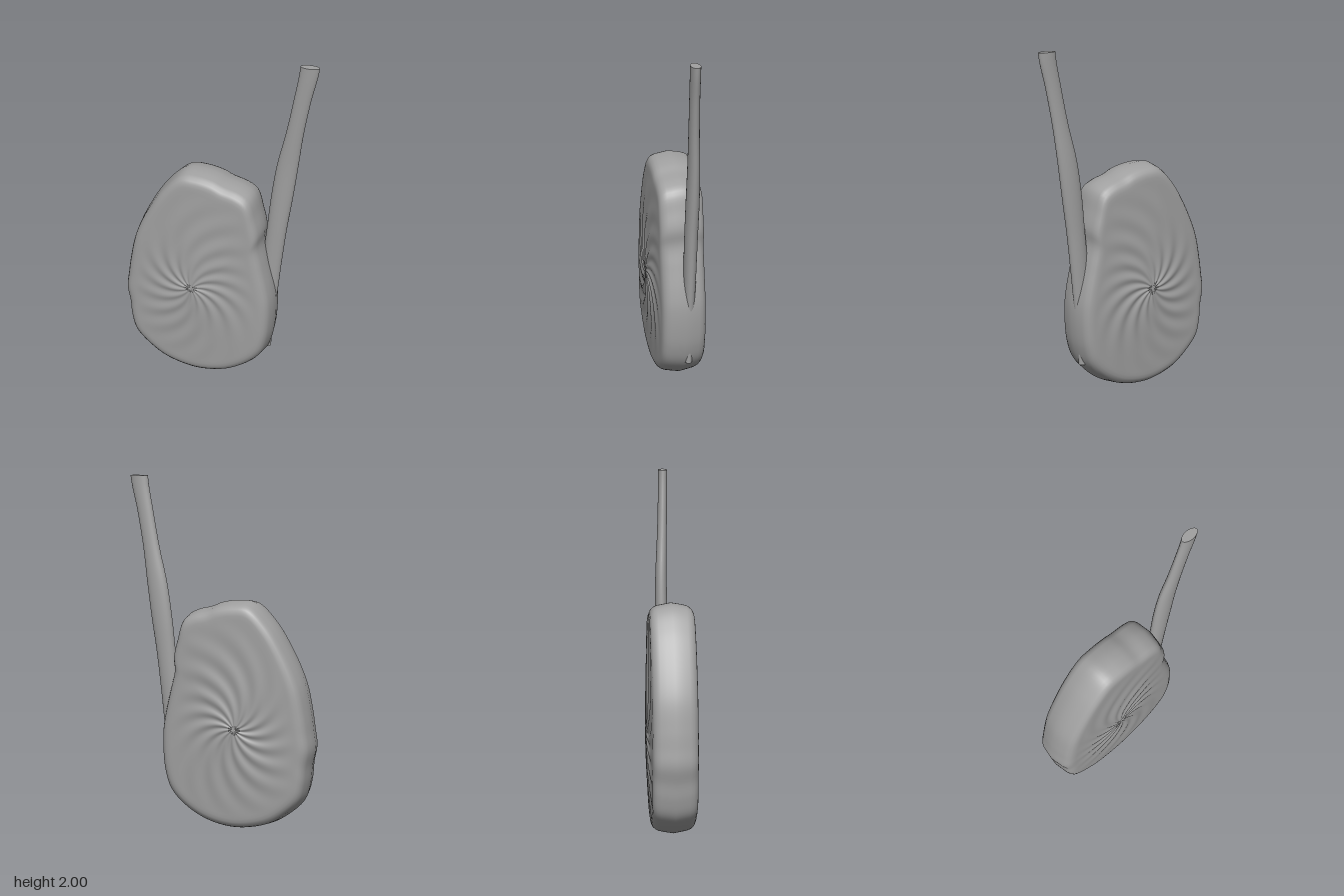
import * as THREE from 'three';

const grey = new THREE.MeshStandardMaterial({ color: 0xa0a0a0 });
grey.name = 'grey';

// Uneven pebble silhouette, clockwise from the top
const OUTLINE = [
  [-0.19, 1.31], [-0.1, 1.317], [0, 1.3], [0.06, 1.275], [0.15, 1.25], [0.212, 1.21],
  [0.25, 1.1], [0.275, 1.0], [0.272, 0.92], [0.3, 0.8], [0.335, 0.65], [0.35, 0.55],
  [0.35, 0.42], [0.335, 0.3], [0.3, 0.2], [0.23, 0.12], [0.1, 0.04], [-0.03, 0.005],
  [-0.15, 0.003], [-0.3, 0.04], [-0.4, 0.1], [-0.5, 0.2], [-0.53, 0.3], [-0.54, 0.4],
  [-0.557, 0.5], [-0.545, 0.6], [-0.53, 0.7], [-0.49, 0.87], [-0.4, 1.06], [-0.3, 1.21],
];
const CENTRE = new THREE.Vector2(-0.12, 0.6);
const ARMS = 14;

// Rounded rim: inset from the silhouette, height in z
const RIM = [[0.075, 0.125], [0.055, 0.122], [0.038, 0.114], [0.024, 0.1], [0.015, 0.08], [0.008, 0.045]];

function sweetGeometry() {
  const curve = new THREE.CatmullRomCurve3(
    OUTLINE.map(([x, y]) => new THREE.Vector3(x, y, 0)), true);
  const N = 180, FACE = 26;
  const outline = curve.getSpacedPoints(N).slice(0, N);

  // Rings from the middle of the front face, over the rim, to the middle of the back
  const front = [];
  for (let i = 1; i < FACE; i++) front.push({ t: i / FACE });
  RIM.forEach(([inset, z]) => front.push({ t: 1, inset, z }));
  const rings = [
    ...front.map(r => ({ ...r, side: 1 })),
    { t: 1, inset: 0, z: 0, side: 1 },
    ...front.map(r => ({ ...r, side: -1 })).reverse(),
  ];

  const pos = [CENTRE.x, CENTRE.y, 0.147], index = [];
  for (const ring of rings) {
    for (const p of outline) {
      const dx = p.x - CENTRE.x, dy = p.y - CENTRE.y;
      const R = Math.hypot(dx, dy), a = Math.atan2(dy, dx);
      const r = ring.t * (R - (ring.inset ?? RIM[0][0]));
      let z = ring.z;
      if (z === undefined) {
        // Gently domed face with curved swirl ridges
        const fade = Math.sin(Math.PI * Math.pow(ring.t, 0.8));
        z = 0.125 + 0.022 * (1 - ring.t) + 0.004 * fade * Math.cos(ARMS * (a + 2.2 * r));
      }
      pos.push(CENTRE.x + Math.cos(a) * r, CENTRE.y + Math.sin(a) * r, z * ring.side);
    }
  }
  const last = pos.length / 3;
  pos.push(CENTRE.x, CENTRE.y, -0.147);

  for (let j = 0; j < N; j++) {
    const k = (j + 1) % N;
    index.push(0, 1 + k, 1 + j);
    for (let i = 0; i < rings.length - 1; i++) {
      const a = 1 + i * N, b = a + N;
      index.push(a + j, a + k, b + j, a + k, b + k, b + j);
    }
    const e = 1 + (rings.length - 1) * N;
    index.push(last, e + j, e + k);
  }
  const g = new THREE.BufferGeometry();
  g.setAttribute('position', new THREE.Float32BufferAttribute(pos, 3));
  g.setIndex(index);
  g.computeVertexNormals();
  return g;
}

// Stick stations from the bottom up: y, left x, right x, centre z, z radius
const STICK = [
  [0.2, 0.25, 0.318, -0.025, 0.022], [0.4, 0.24, 0.332, -0.025, 0.028],
  [0.6, 0.245, 0.352, -0.026, 0.032], [0.8, 0.26, 0.372, -0.027, 0.035],
  [1.0, 0.28, 0.395, -0.028, 0.036], [1.2, 0.3, 0.424, -0.03, 0.036],
  [1.4, 0.33, 0.45, -0.029, 0.033], [1.6, 0.378, 0.476, -0.022, 0.029],
  [1.8, 0.417, 0.512, -0.016, 0.027], [2.0, 0.45, 0.555, -0.012, 0.027],
];

// Interpolate one column of the stick stations smoothly
function station(u, column) {
  const f = u * (STICK.length - 1), i = Math.min(Math.floor(f), STICK.length - 2), t = f - i;
  const at = k => STICK[Math.max(0, Math.min(STICK.length - 1, k))][column];
  const [a, b, c, d] = [at(i - 1), at(i), at(i + 1), at(i + 2)];
  return b + 0.5 * t * (c - a + t * (2 * a - 5 * b + 4 * c - d + t * (3 * (b - c) + d - a)));
}

function stickGeometry() {
  const g = new THREE.CylinderGeometry(1, 1, 1, 32, 45, false, -Math.PI / 2);
  const p = g.attributes.position;
  for (let i = 0; i < p.count; i++) {
    const u = THREE.MathUtils.clamp(p.getY(i) + 0.5, 0, 1);
    const l = station(u, 1), r = station(u, 2);
    p.setXYZ(i, (l + r) / 2 + p.getX(i) * (r - l) / 2, 0.2 + 1.8 * u,
      station(u, 3) + p.getZ(i) * station(u, 4));
  }
  g.computeVertexNormals();
  return g;
}

export function createModel() {
  const model = new THREE.Group();
  model.name = 'swirlSweetOnStick';
  const add = (name, geometry) => {
    const mesh = new THREE.Mesh(geometry, grey);
    mesh.name = name;
    model.add(mesh);
  };
  add('sweet', sweetGeometry());
  add('stick', stickGeometry());
  return model;
}
